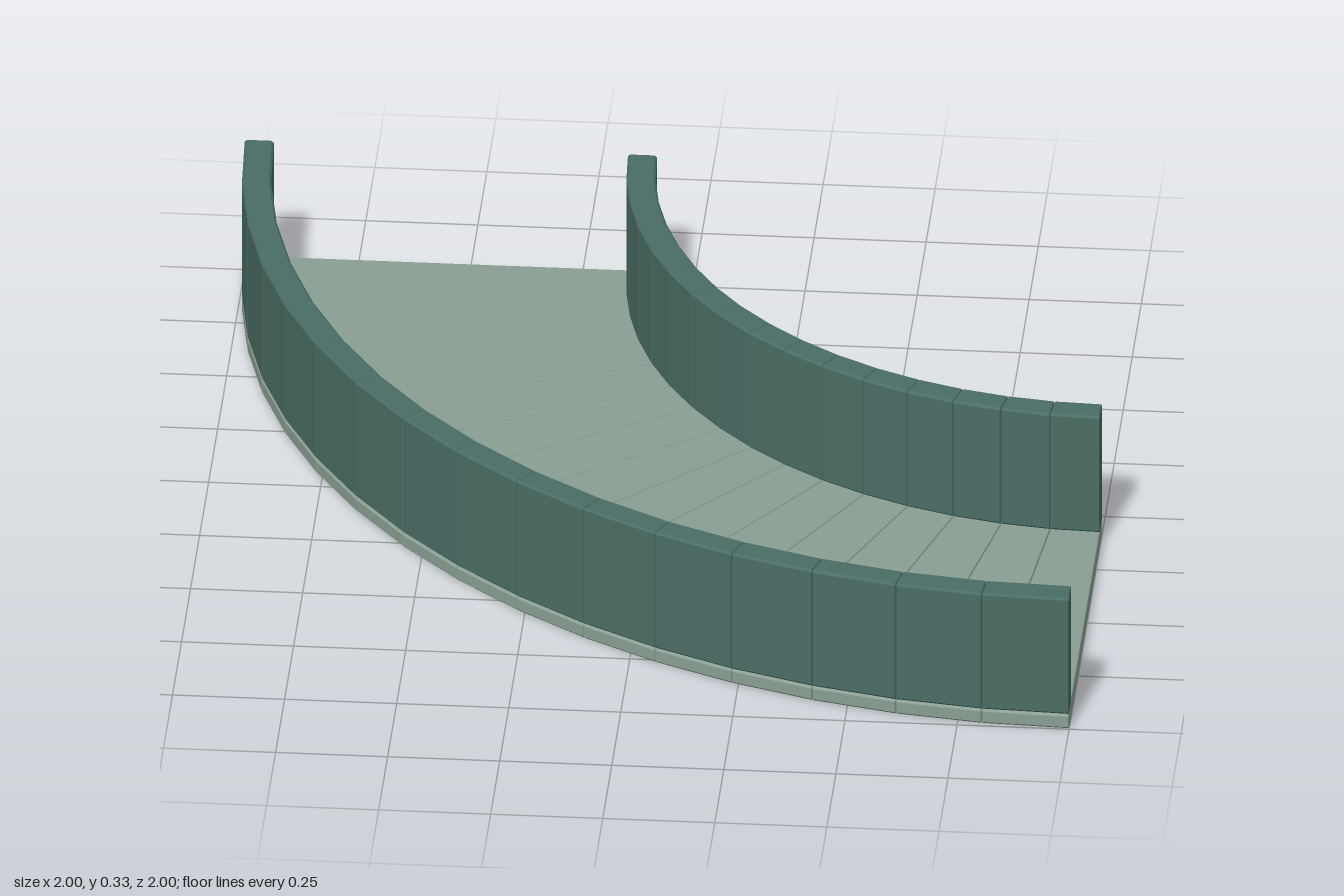
import * as THREE from 'three';
import { ConvexGeometry } from 'three/addons/geometries/ConvexGeometry.js';

const SEGMENTS = 16;
const STEP = Math.PI / 2 / SEGMENTS;
const CENTRE = { x: 1, z: -1 }; // centre of the quarter turn

// Point at a radius, height and bend angle (0 = far left end, PI/2 = front end),
// moved along the arc by a sideways offset
function arcPoint(r, y, angle, side) {
  return new THREE.Vector3(
    CENTRE.x - r * Math.cos(angle) + side * Math.sin(angle),
    y,
    CENTRE.z + r * Math.sin(angle) + side * Math.cos(angle)
  );
}

// Straight-sided wedge block with finely chamfered edges
function wedge(r0, r1, y0, y1, a0, a1, bevel, seam) {
  const points = [];
  for (const [r, dr] of [[r0, 1], [r1, -1]]) {
    for (const [y, dy] of [[y0, 1], [y1, -1]]) {
      for (const [a, da] of [[a0, 1], [a1, -1]]) {
        points.push(
          arcPoint(r, y + dy * bevel, a, da * seam),
          arcPoint(r + dr * bevel, y, a, da * seam),
          arcPoint(r + dr * bevel, y + dy * bevel, a, 0)
        );
      }
    }
  }
  return new ConvexGeometry(points);
}

export function createModel() {
  const model = new THREE.Group();
  model.name = 'curvedWalkway';

  const floorMaterial = new THREE.MeshStandardMaterial({ color: 0x8a9f93 });
  floorMaterial.name = 'pale grey green';
  const wallMaterial = new THREE.MeshStandardMaterial({ color: 0x4a6d65 });
  wallMaterial.name = 'dark teal';

  // name, inner radius, outer radius, bottom, top, material
  const parts = [
    ['floor', 1.08, 2, 0, 0.036, floorMaterial],
    ['innerWall', 1.08, 1.145, 0.036, 0.329, wallMaterial],
    ['outerWall', 1.935, 2, 0.036, 0.329, wallMaterial],
  ];

  for (const [name, r0, r1, y0, y1, material] of parts) {
    const group = new THREE.Group();
    group.name = name;
    for (let i = 0; i < SEGMENTS; i++) {
      const geometry = wedge(r0, r1, y0, y1, i * STEP, (i + 1) * STEP, 0.005, 0.002);
      const mesh = new THREE.Mesh(geometry, material);
      mesh.name = name + 'Segment' + (i + 1);
      group.add(mesh);
    }
    model.add(group);
  }
  return model;
}
